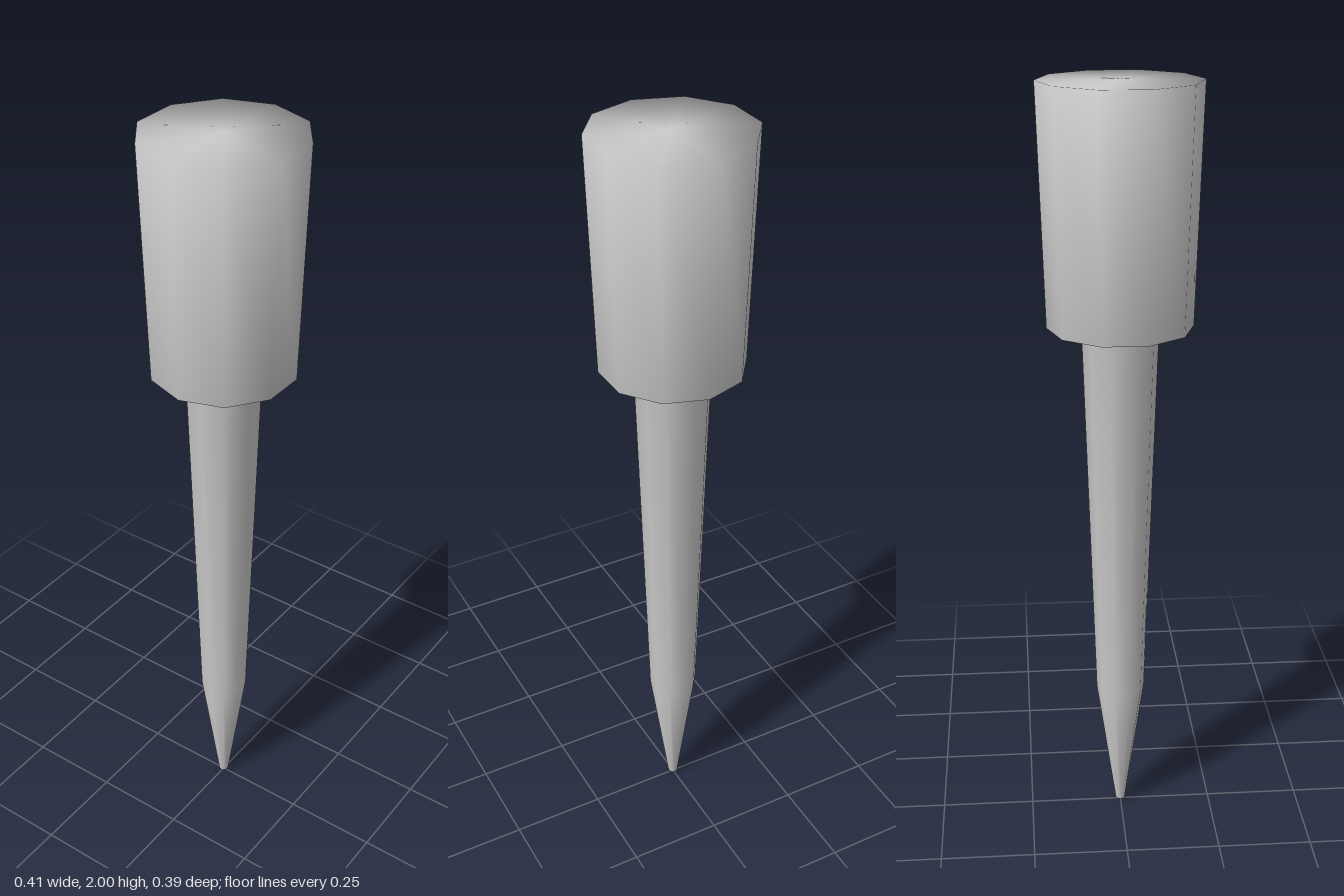
import * as THREE from 'three';

// Turned ten-sided peg: pointed tip, tapering shank and a wide head.
export function createModel() {
  const group = new THREE.Group();
  group.name = 'peg';

  // Radius and height pairs, from the tip up to the middle of the flat top
  const profile = [
    [0, 0],
    [0.013, 0.005], // blunt tip
    [0.065, 0.37], // end of the point
    [0.098, 1.38], // top of the shank
    [0.186, 1.395], // underside of the head
    [0.205, 2], // rim of the head
    [0, 2],
  ].map(([r, y]) => new THREE.Vector2(r, y));

  // Start a quarter turn round so that corners lie on the x axis
  const geometry = new THREE.LatheGeometry(profile, 10, Math.PI / 2);
  const material = new THREE.MeshStandardMaterial({ color: 0xcccccc });
  const body = new THREE.Mesh(geometry, material);
  body.name = 'pegBody';
  group.add(body);

  return group;
}
